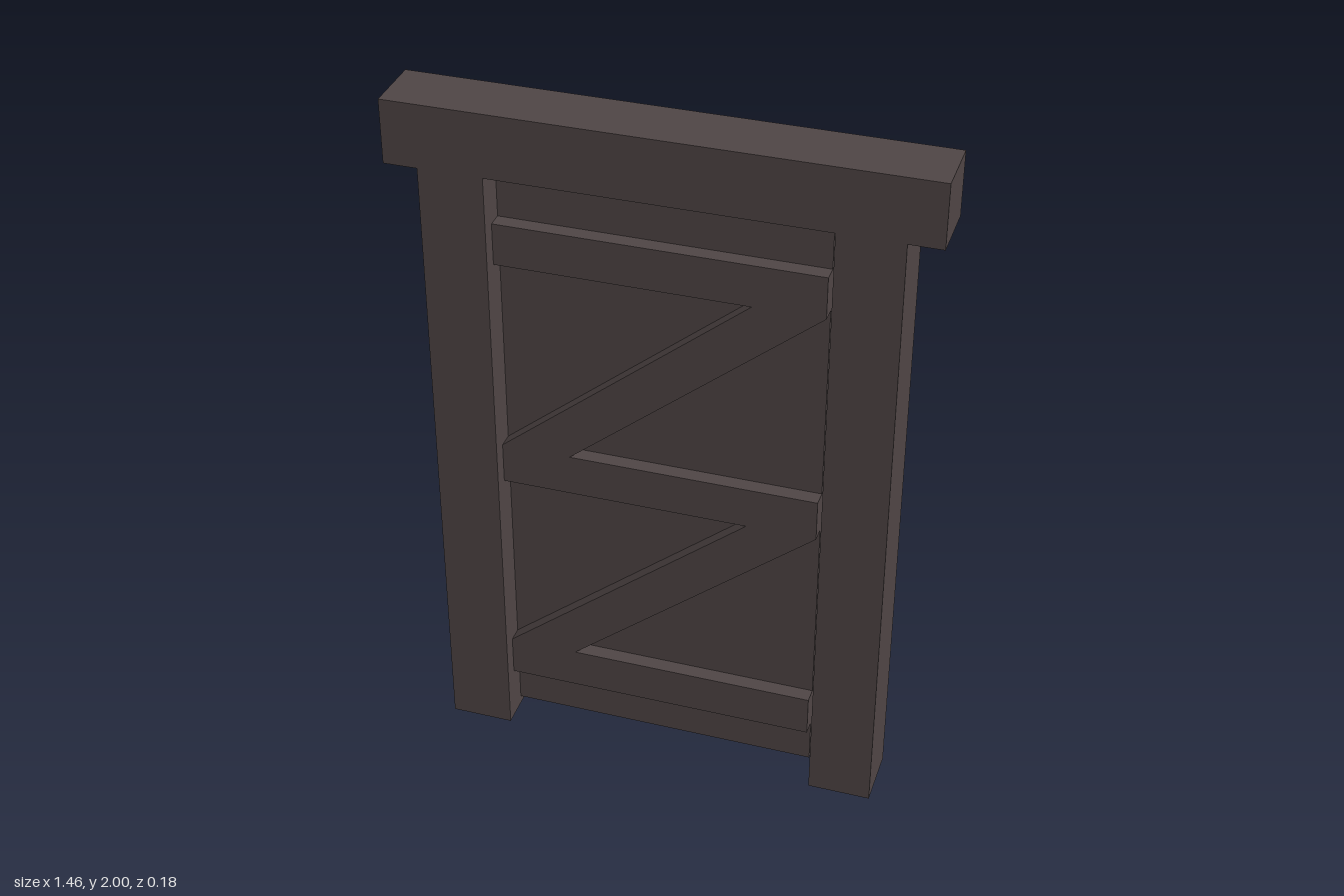
import * as THREE from 'three';

export function createModel() {
  const group = new THREE.Group();
  const wood = new THREE.MeshStandardMaterial({ color: 0x504646 });
  wood.name = 'dark brown wood';

  const add = (name, geometry) => {
    const mesh = new THREE.Mesh(geometry, wood);
    mesh.name = name;
    group.add(mesh);
  };
  // box given by its lower and upper corners
  const box = (name, [x0, y0, z0], [x1, y1, z1]) =>
    add(name, new THREE.BoxGeometry(x1 - x0, y1 - y0, z1 - z0)
      .translate((x0 + x1) / 2, (y0 + y1) / 2, (z0 + z1) / 2));

  // frame: two posts and an overhanging lintel
  const D = 0.088;
  box('rightPost', [-0.635, 0, -D], [-0.457, 1.82, D]);
  box('leftPost', [0.457, 0, -D], [0.635, 1.82, D]);
  box('lintel', [-0.728, 1.82, -D], [0.728, 2, D]);

  // door leaf, hung against the right post with a gap on the other sides
  const L = -0.457, R = 0.435, T = 0.044;
  box('doorPanel', [L, 0.025, -T], [R, 1.805, 0]);

  // three raised rails
  const railBottoms = [0.16, 0.852, 1.545];
  for (const y of railBottoms) box('doorRail', [L, y, 0], [R, y + 0.121, T]);

  // raised diagonal braces between the rails
  for (let i = 0; i < 2; i++) {
    const y0 = railBottoms[i] + 0.121, y1 = railBottoms[i + 1];
    const shape = new THREE.Shape([[L, y0], [-0.262, y0], [R, y1], [0.24, y1]]
      .map(([x, y]) => new THREE.Vector2(x, y)));
    add('doorBrace', new THREE.ExtrudeGeometry(shape, { depth: T, bevelEnabled: false }));
  }
  return group;
}
